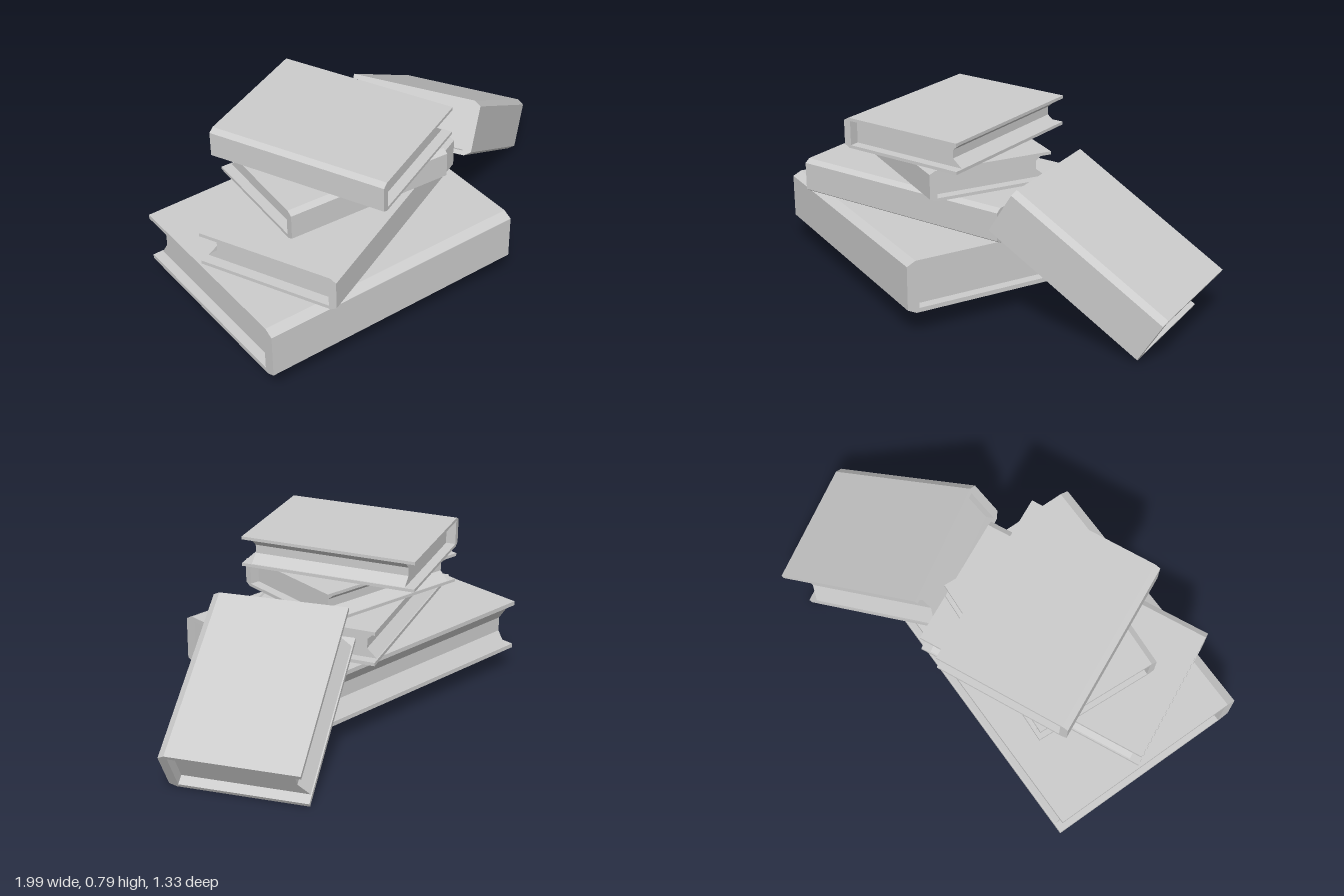
import * as THREE from 'three';

const material = new THREE.MeshStandardMaterial({ color: 0xcccccc, flatShading: true });

function extrude(points, length) {
  const shape = new THREE.Shape(points.map(([x, y]) => new THREE.Vector2(x, y)));
  return new THREE.ExtrudeGeometry(shape, { depth: length, bevelEnabled: false });
}

// origin: start of the spine's bottom edge; across: [x, z] from spine to fore edge;
// lean: downward slope of the spine in radians
function book({ name, origin, across, length, thick, board, spine, lean = 0 }) {
  const group = new THREE.Group();
  group.name = name;
  const depth = Math.hypot(...across);
  const chamfer = spine * 0.75;
  const inset = 0.045;
  const hollow = 0.045;

  // Hard cover: two boards joined by a spine with chamfered edges
  const cover = new THREE.Mesh(extrude([
    [chamfer, 0], [depth, 0], [depth, board], [spine, board],
    [spine, thick - board], [depth, thick - board], [depth, thick],
    [chamfer, thick], [0, thick - board], [0, board],
  ], length), material);
  cover.name = 'cover';

  // Page block with a hollowed fore edge
  const h = thick - 2 * board;
  const edge = depth - 0.006;
  const pages = new THREE.Mesh(extrude([
    [spine, board], [edge, board], [edge - hollow, board + h * 0.33],
    [edge - hollow, board + h * 0.67], [edge, thick - board], [spine, thick - board],
  ], length - 2 * inset), material);
  pages.position.z = inset;
  pages.name = 'pages';
  group.add(cover, pages);

  // Local axes: x across the cover, y through the thickness, z along the spine
  const d = new THREE.Vector3(across[0], 0, across[1]).normalize();
  const level = new THREE.Vector3(-d.z, 0, d.x);
  const up = new THREE.Vector3(0, 1, 0);
  const c = Math.cos(lean), s = Math.sin(lean);
  const normal = up.clone().multiplyScalar(c).addScaledVector(level, s);
  const along = level.clone().multiplyScalar(c).addScaledVector(up, -s);
  group.quaternion.setFromRotationMatrix(new THREE.Matrix4().makeBasis(d, normal, along));
  group.position.set(...origin);
  return group;
}

export function createModel() {
  const model = new THREE.Group();
  model.name = 'bookPile';
  const books = [
    { name: 'bottomBook', origin: [-1, 0.11, 0.615], across: [0, -0.935],
      length: 1.23, thick: 0.24, board: 0.02, spine: 0.055 },
    { name: 'secondBook', origin: [-0.72, 0.35, 0.66], across: [-0.27, -0.57],
      length: 1.077, thick: 0.16, board: 0.016, spine: 0.035 },
    { name: 'thirdBook', origin: [-0.72, 0.51, 0.36], across: [0.035, -0.58],
      length: 0.762, thick: 0.14, board: 0.014, spine: 0.035 },
    { name: 'topBook', origin: [-0.77, 0.65, -0.15], across: [0.56, -0.26],
      length: 0.81, thick: 0.14, board: 0.014, spine: 0.035 },
    { name: 'leaningBook', origin: [0.288, 0.43, 0.27], across: [-0.31, -0.52],
      length: 0.82, thick: 0.247, board: 0.02, spine: 0.04, lean: 0.553 },
  ];
  for (const spec of books) model.add(book(spec));
  return model;
}
